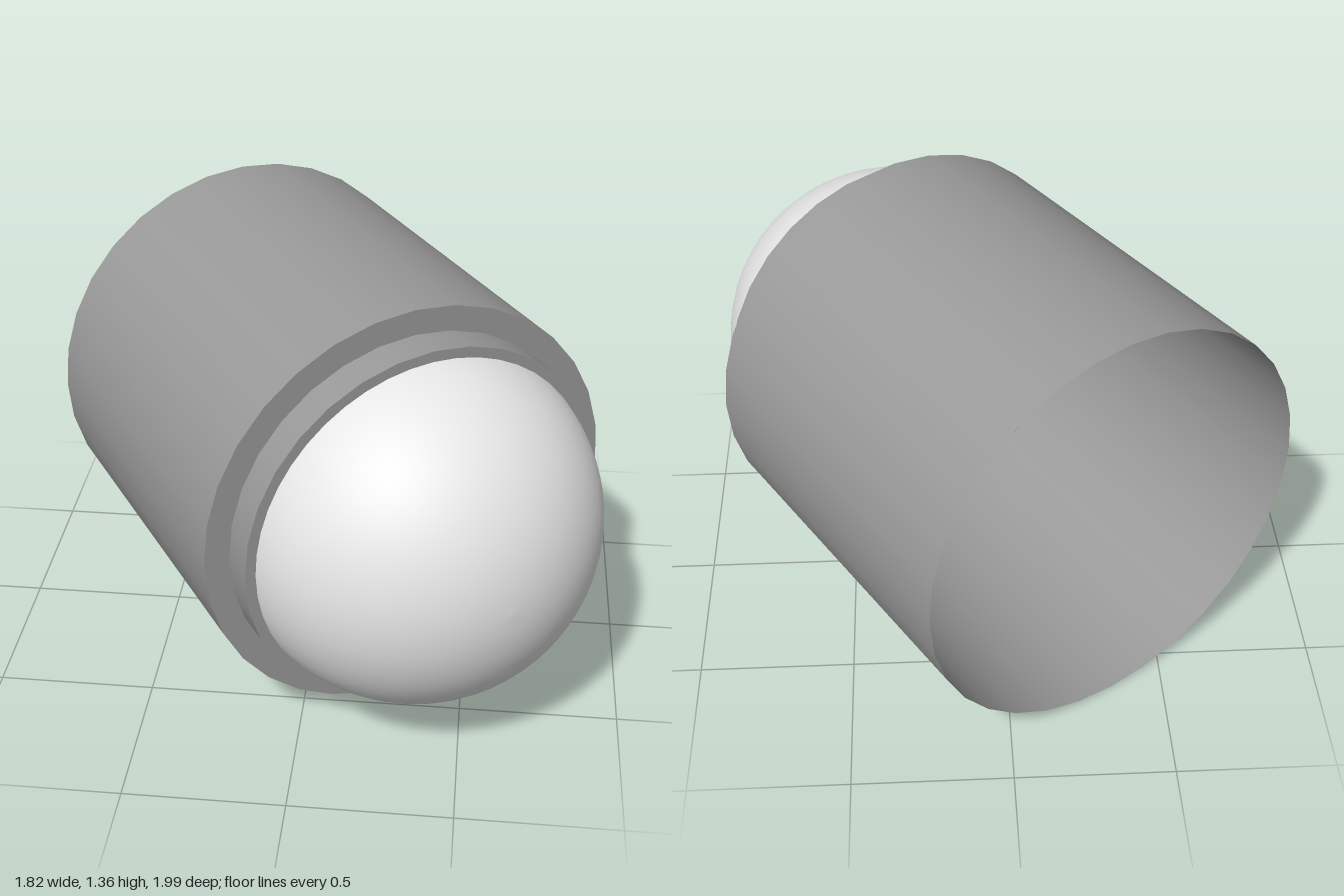
import * as THREE from 'three';

const material = (name, color) => {
  const m = new THREE.MeshStandardMaterial({ color, side: THREE.DoubleSide });
  m.name = name;
  return m;
};

export function createModel() {
  const grey = material('grey shell', 0x999999);
  const white = material('pale dome', 0xe6e6e6);
  const dark = material('dark disc', 0x484848);

  const model = new THREE.Group();
  const eye = new THREE.Group();
  eye.name = 'barrelAssembly';
  // Origin at the front end of the barrel, local +z along its axis
  eye.position.set(0.315, 0.682, 0.395);
  eye.rotation.y = 0.561;
  model.add(eye);

  // Revolve [radius, depth] points round the axis
  const turn = (name, mat, points, segments = 32) => {
    const geo = new THREE.LatheGeometry(points.map(p => new THREE.Vector2(...p)), segments);
    geo.rotateX(Math.PI / 2);
    const mesh = new THREE.Mesh(geo, mat);
    mesh.name = name;
    eye.add(mesh);
  };

  // Open-backed barrel with a stepped collar, each face kept sharp
  turn('barrelWall', grey, [[0.682, -1.222], [0.682, 0]]);
  turn('barrelFlange', grey, [[0.682, 0], [0.602, 0]]);
  turn('collarWall', grey, [[0.602, 0], [0.602, 0.112]]);
  turn('collarRim', grey, [[0.602, 0.112], [0.562, 0.112]]);

  // Dome: a sphere cut flat at the back
  const R = 0.575, centre = 0.025, back = -0.25;
  const start = Math.asin((back - centre) / R);
  const arc = [];
  for (let i = 0; i <= 24; i++) {
    const a = start + (Math.PI / 2 - start) * i / 24;
    arc.push([Math.max(0, R * Math.cos(a)), centre + R * Math.sin(a)]);
  }
  turn('dome', white, arc, 48);

  // Flat back of the dome: grey ring round a dark disc
  turn('backRing', grey, [[0.413, back], [arc[0][0], back]], 48);
  turn('backDisc', dark, [[0, back], [0.413, back]], 48);

  return model;
}
